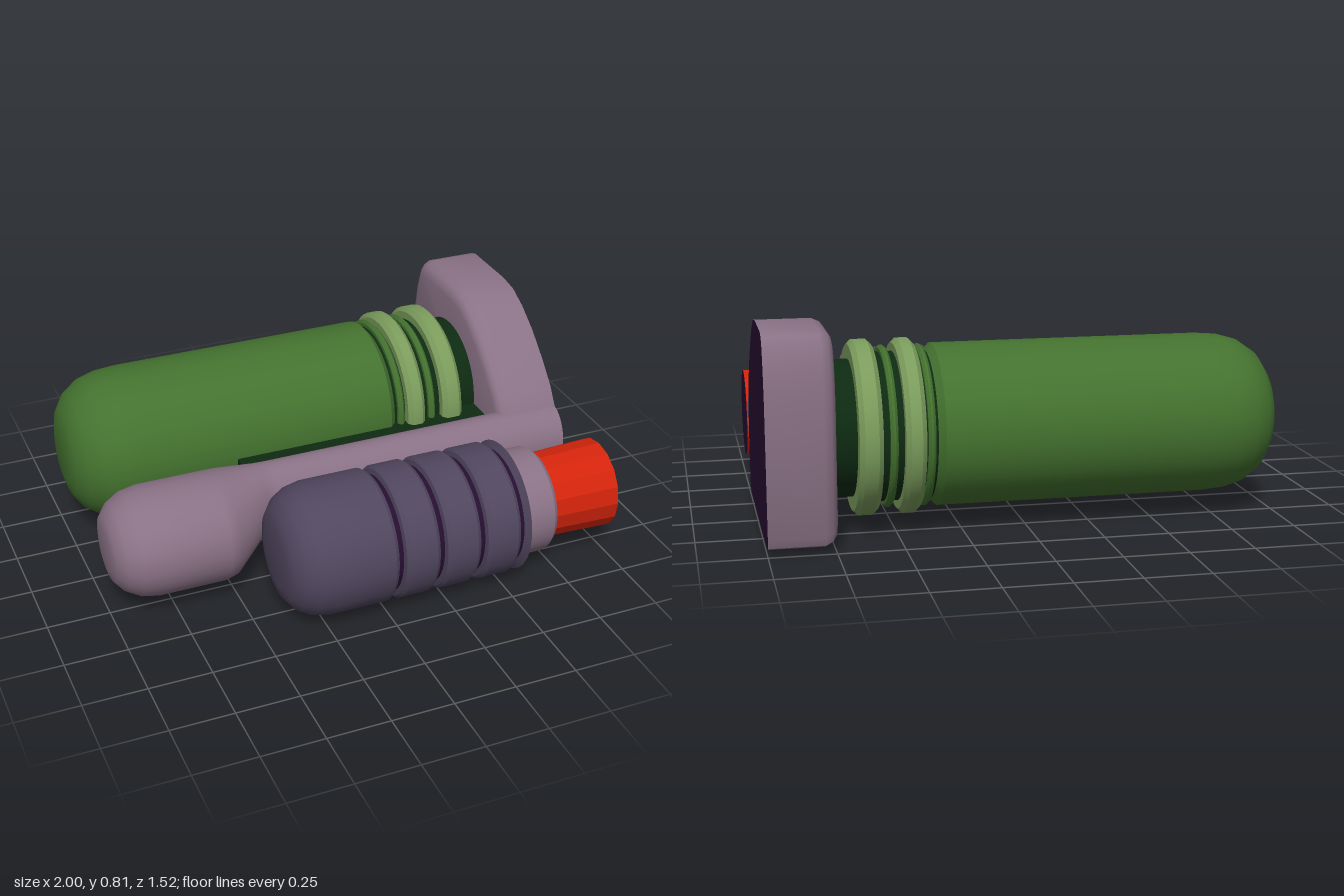
import * as THREE from 'three';
import { toCreasedNormals } from 'three/addons/utils/BufferGeometryUtils.js';

function paint(name, color) {
  const m = new THREE.MeshStandardMaterial({ color });
  m.name = name;
  return m;
}

// Solid of revolution about the x axis; profile is [radius, x] with x rising
function turned(profile, y, z, segments = 48) {
  const g = new THREE.LatheGeometry(profile.map(([r, x]) => new THREE.Vector2(r, x)), segments);
  g.rotateZ(-Math.PI / 2);
  g.translate(0, y, z);
  return toCreasedNormals(g, 0.55);
}

// Capped skin over rings of [x, y, z] points; the far cap is material group 1
function loft(rings, crease) {
  const n = rings[0].length, pos = rings.flat(2), index = [];
  for (let s = 0; s < rings.length - 1; s++) {
    for (let j = 0; j < n; j++) {
      const a = s * n + j, b = s * n + (j + 1) % n;
      index.push(a, a + n, b, b, a + n, b + n);
    }
  }
  const centre = ring => [0, 1, 2].map(k => ring.reduce((t, p) => t + p[k], 0) / n);
  const c0 = rings.length * n, last = c0 - n;
  pos.push(...centre(rings[0]), ...centre(rings[rings.length - 1]));
  for (let j = 0; j < n; j++) index.push(c0, j, (j + 1) % n);
  const side = index.length;
  for (let j = 0; j < n; j++) index.push(c0 + 1, last + (j + 1) % n, last + j);
  const g = new THREE.BufferGeometry();
  g.setAttribute('position', new THREE.Float32BufferAttribute(pos, 3));
  g.setIndex(index);
  g.addGroup(0, side, 0);
  g.addGroup(side, n * 3, 1);
  return toCreasedNormals(g, crease);
}

export function createModel() {
  const model = new THREE.Group();
  const green = paint('green', 0x44722f);
  const lightGreen = paint('light green', 0x7b9c5c);
  const darkGreen = paint('dark green', 0x0e2a12);
  const mauve = paint('mauve', 0x8a7286);
  const slate = paint('slate purple', 0x50465e);
  const darkPurple = paint('dark purple', 0x260e30);
  const red = paint('red', 0xd3240c);

  function add(name, geometry, material) {
    const mesh = new THREE.Mesh(geometry, material);
    mesh.name = name;
    model.add(mesh);
  }
  function box(name, material, x0, x1, y0, y1, z0, z1) {
    const g = new THREE.BoxGeometry(x1 - x0, y1 - y0, z1 - z0);
    g.translate((x0 + x1) / 2, (y0 + y1) / 2, (z0 + z1) / 2);
    add(name, g, material);
  }
  // Chamfered band around an x axis
  const band = (x0, x1, r, inner, bevel) =>
    [[inner, x0], [r - bevel, x0], [r, x0 + bevel], [r, x1 - bevel], [r - bevel, x1], [inner, x1]];

  // Large tank
  const ty = 0.385, tz = -0.372;
  add('tankBody', turned([[0, -1], [0.12, -1], [0.18, -0.985], [0.24, -0.945], [0.285, -0.88],
    [0.305, -0.81], [0.312, -0.72], [0.312, 0.335], [0.285, 0.36]], ty, tz), green);
  add('tankGrooves', turned([[0.285, 0.34], [0.285, 0.64]], ty, tz), darkGreen);
  add('tankNeck', turned([[0.262, 0.6], [0.262, 0.8]], ty, tz), darkGreen);
  for (const x of [0.385, 0.525]) {
    add('tankRidge', turned(band(x - 0.014, x + 0.014, 0.31, 0.27, 0.01), ty, tz), green);
  }
  for (const [x0, x1] of [[0.408, 0.485], [0.567, 0.655]]) {
    add('tankRing', turned(band(x0, x1, 0.335, 0.26, 0.018), ty, tz), lightGreen);
  }

  // Plate joining the tank to the pipe
  box('tankBracket', darkGreen, -0.35, 0.78, 0.19, 0.38, -0.14, 0.03);

  // Pipe with a bulbous closed end: x, centre z, centre y, half width, half height
  const stations = [[-0.99, 0.2, 0.27, 0.09, 0.085], [-0.98, 0.2, 0.27, 0.14, 0.13],
    [-0.945, 0.2, 0.27, 0.185, 0.172], [-0.89, 0.2, 0.27, 0.217, 0.203],
    [-0.82, 0.2, 0.27, 0.23, 0.216], [-0.55, 0.2, 0.27, 0.23, 0.216],
    [-0.5, 0.191, 0.271, 0.219, 0.212], [-0.33, 0.117, 0.288, 0.12, 0.155],
    [-0.28, 0.112, 0.29, 0.112, 0.15], [0.998, 0.112, 0.29, 0.112, 0.15]];
  const pipe = stations.map(([x, cz, cy, rz, ry]) => Array.from({ length: 40 }, (_, i) => {
    const a = i / 40 * Math.PI * 2;
    return [x, cy + ry * Math.sin(a), cz + rz * Math.cos(a)];
  }));
  add('pipe', loft(pipe, 0.7), [mauve, mauve]);

  // End block: an arched outline with its inner edge rounded
  const outline = [[0.165, 0.07], [0.168, 0.24], [0.155, 0.35], [0.125, 0.44], [0.08, 0.51],
    [0, 0.595], [-0.1, 0.685], [-0.2, 0.755], [-0.29, 0.797], [-0.38, 0.81], [-0.65, 0.81],
    [-0.69, 0.797], [-0.715, 0.765], [-0.74, 0.69], [-0.76, 0.57], [-0.76, 0.07],
    [-0.748, 0.038], [-0.715, 0.025], [0.12, 0.025], [0.153, 0.038]];
  const block = [[0.742, 0.055], [0.748, 0.03], [0.762, 0.012], [0.79, 0], [1, 0]].map(([x, inset]) =>
    outline.map(([z, y]) => [x, 0.417 + (y - 0.417) * (1 - inset / 0.39), -0.296 + (z + 0.296) * (1 - inset / 0.46)]));
  add('endBlock', loft(block, 0.7), [mauve, darkPurple]);

  // Ribbed canister
  const cy = 0.27, cz = 0.492;
  add('canisterBody', turned([[0, -0.402], [0.12, -0.402], [0.18, -0.388], [0.225, -0.352], [0.252, -0.305],
    [0.265, -0.24], [0.265, -0.01], [0.255, 0.005], [0.232, 0.012]], cy, cz), slate);
  add('canisterGrooves', turned([[0.234, 0], [0.234, 0.56]], cy, cz), darkPurple);
  for (let i = 0; i < 3; i++) {
    const x = 0.032 + i * 0.172;
    add('canisterRib', turned([[0.232, x], [0.254, x + 0.005], [0.265, x + 0.02], [0.265, x + 0.13],
      [0.254, x + 0.145], [0.232, x + 0.15]], cy, cz), slate);
  }
  add('canisterLip', turned([[0.232, 0.545], [0.263, 0.564], [0.232, 0.572]], cy, cz), slate);
  add('canisterCollar', turned([[0.235, 0.565], [0.235, 0.573], [0.212, 0.578], [0.212, 0.695],
    [0.198, 0.712], [0, 0.712]], cy, cz), mauve);

  // Bracket joining the canister to the pipe
  box('canisterBracket', darkPurple, -0.2, 0.69, 0.14, 0.312, 0.14, 0.36);

  // Faceted nozzle with a dark end
  const nozzle = new THREE.CylinderGeometry(0.182, 0.172, 0.3, 16).toNonIndexed();
  nozzle.rotateZ(-Math.PI / 2);
  nozzle.translate(0.848, cy + 0.005, cz);
  nozzle.computeVertexNormals();
  add('nozzle', nozzle, [red, darkPurple, red]);

  return model;
}
